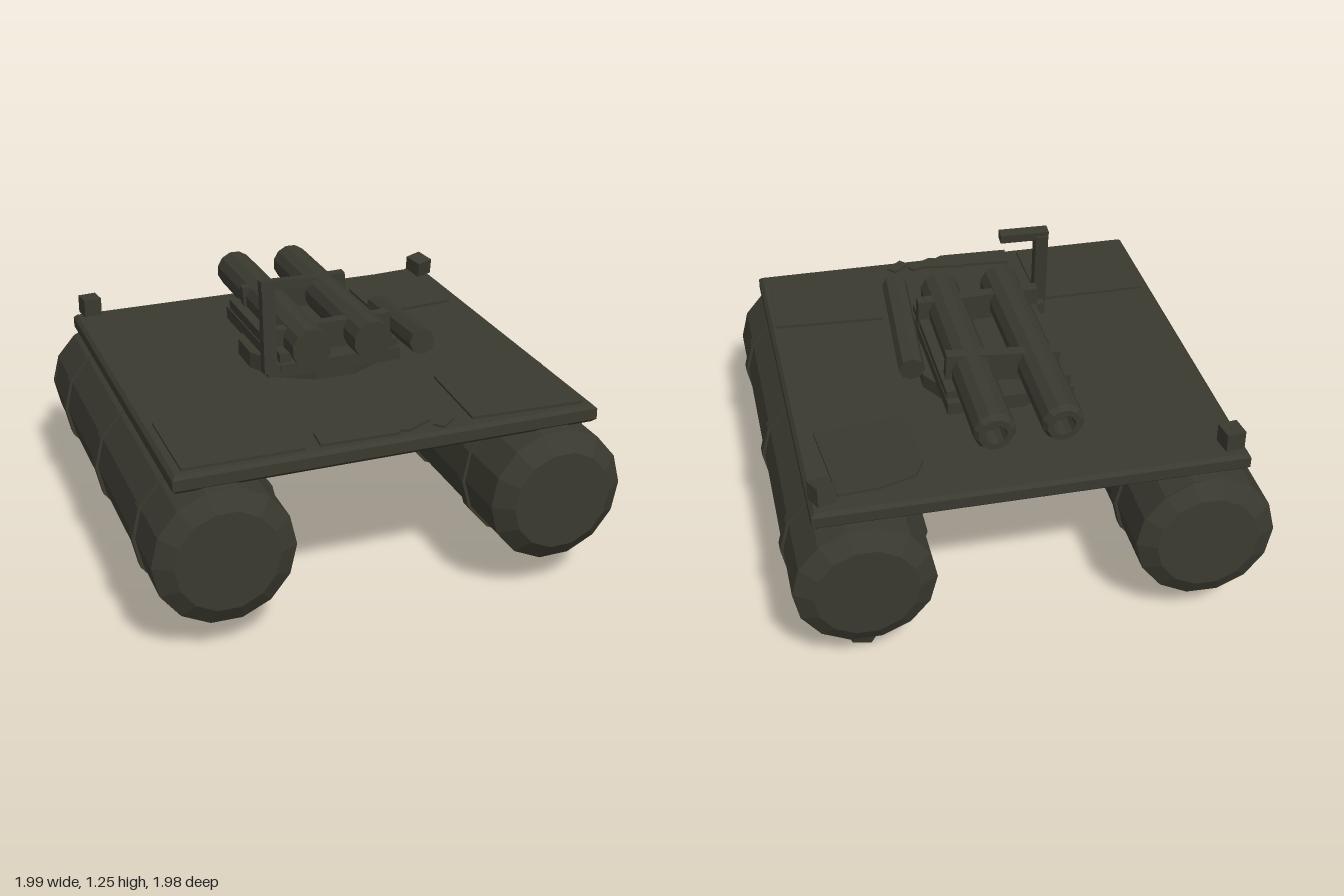
import * as THREE from 'three';

const olive = new THREE.MeshStandardMaterial({ color: 0x3a392f, flatShading: true });
olive.name = 'darkOlive';

export function createModel() {
  const root = new THREE.Group();
  root.name = 'pontoonRaft';

  const add = (name, geo, pos = [0, 0, 0], rot = [0, 0, 0], parent = root) => {
    const mesh = new THREE.Mesh(geo, olive);
    mesh.name = name;
    mesh.position.set(...pos);
    mesh.rotation.set(...rot);
    parent.add(mesh);
    return mesh;
  };
  const box = (name, size, pos, rot, parent) => add(name, new THREE.BoxGeometry(...size), pos, rot, parent);
  // Profile of [radius, height] pairs turned around y, with a flat side down once laid along z
  const turned = (profile, sides) => new THREE.LatheGeometry(
    profile.map(([r, y]) => new THREE.Vector2(r, y)), sides, Math.PI / sides);
  // Outline in x, z extruded upwards
  const slab = (outline, depth, bevel = 0) => new THREE.ExtrudeGeometry(
    new THREE.Shape(outline.map(([x, z]) => new THREE.Vector2(x, -z))),
    { depth, bevelEnabled: bevel > 0, bevelSize: bevel, bevelThickness: bevel, bevelSegments: 1 }
  ).rotateX(-Math.PI / 2);

  // Pontoons: drum, bands and separate chamfered end caps
  const R = 0.287;
  const capShape = depth => turned([[0, -0.005], [R, -0.005], [R, 0.01], [0.21, depth], [0, depth]], 14);
  const pontoon = (name, x, y, roll, capDepth, backPos, backRot) => {
    const g = new THREE.Group();
    g.name = name;
    g.position.set(x, y, 0);
    g.rotation.z = roll;
    root.add(g);
    const flat = [Math.PI / 2, 0, 0];
    add('drum', turned([[0, -0.905], [R, -0.905], [R, 0.92], [0, 0.92]], 14), [0, 0, 0], flat, g);
    for (const z of [-0.62, 0.01, 0.66])
      add('band', turned([[R - 0.01, -0.025], [0.3, -0.025], [0.3, 0.025], [R - 0.01, 0.025]], 14), [0, 0, z], flat, g);
    add('frontCap', capShape(capDepth), [0, 0, 0.92], flat, g);
    add('backCap', capShape(0.055), backPos, backRot, g);
  };
  pontoon('leftPontoon', 0.695, 0.572, 0.03, 0.068, [0, 0, -0.905], [-Math.PI / 2, 0, 0]);
  pontoon('rightPontoon', -0.697, 0.557, 0, 0.055, [0.0, 0.0, -0.915], [-Math.PI / 2 + 0.07, 0, -0.06]);

  // Deck with bevelled rim, leaning slightly to one side
  const deck = new THREE.Group();
  deck.name = 'deck';
  deck.position.set(0, 0.913, 0);
  deck.rotation.set(0.003, 0, 0.013);
  root.add(deck);
  const rect = (x0, z0, x1, z1) => [[x0, z1], [x1, z1], [x1, z0], [x0, z0]];
  add('deckPlate', slab(rect(-0.865, -0.86, 0.865, 0.875), 0.045, 0.015), [0, -0.06, 0], [0, 0, 0], deck);

  // Hatch plates and torn strips on the deck
  box('hatchPlate', [0.49, 0.012, 0.43], [-0.59, 0.005, 0.635], [0, 0, 0], deck);
  box('hatchPlate', [0.475, 0.012, 0.425], [0.605, 0.006, 0.63], [0, -0.05, 0.004], deck);
  add('bentPlate', slab([[-0.19, 0.215], [0.19, 0.215], [0.19, -0.215], [0.02, -0.215],
    [-0.13, -0.18], [-0.18, -0.1]], 0.012), [0.595, 0.008, -0.575], [0.035, 0.08, 0]);
  const bent = root.children.pop();
  deck.add(bent);
  add('tornStrip', slab([[-0.29, 0.86], [0.02, 0.87], [0.05, 0.85], [0.08, 0.86], [0.19, 0.8],
    [0.17, 0.77], [0.12, 0.79], [-0.05, 0.765], [-0.08, 0.77], [-0.28, 0.755]], 0.012), [0, 0.008, 0], [0, 0, 0], deck);
  box('tornScrap', [0.09, 0.01, 0.05], [0.235, 0.01, 0.825], [0, 0.7, 0], deck);

  // Blocks on the rear corners
  box('cornerBlock', [0.08, 0.08, 0.085], [-0.812, 0.963, -0.81], [0, 0.12, 0]);
  box('cornerBlock', [0.08, 0.075, 0.09], [0.825, 0.972, -0.795], [0.2, 0.35, 0.04]);

  // Turntable and cradle
  add('turntable', new THREE.CylinderGeometry(0.315, 0.315, 0.07, 12, 1, false, Math.PI / 12), [0, 0.945, -0.06]);
  box('cradleBase', [0.53, 0.055, 0.73], [0, 1.0, -0.065], [0, 0.015, 0.012]);
  for (const side of [-1, 1])
    box('cradleRail', [0.05, 0.05, 0.68], [side * 0.235, 1.04, -0.06], [0, 0.01, 0]);

  // Twin launch tubes: solid at the front, hollow at the rear
  const tube = turned([[0, -0.33], [0.085, -0.33], [0.085, 0.725], [0.07, 0.75],
    [0.045, 0.75], [0.045, 0.66], [0, 0.66]], 12);
  add('launchTube', tube, [-0.135, 1.088, 0], [-Math.PI / 2, 0, 0.005]);
  add('launchTube', tube, [0.135, 1.088, 0], [-Math.PI / 2, 0, 0]);
  box('rearClamp', [0.47, 0.125, 0.05], [0.005, 1.1, -0.305], [0, -0.06, 0.06]);
  box('frontClamp', [0.53, 0.12, 0.05], [0, 1.085, 0.175], [0, 0.03, 0.02]);

  // Loose canister beside the tubes
  const from = new THREE.Vector3(0.355, 1.035, -0.17);
  const to = new THREE.Vector3(0.32, 1.09, 0.41);
  const canister = add('sideCanister', new THREE.CylinderGeometry(0.055, 0.055, from.distanceTo(to), 8));
  canister.position.copy(from).lerp(to, 0.5);
  canister.quaternion.setFromUnitVectors(new THREE.Vector3(0, 1, 0), to.clone().sub(from).normalize());

  // Sight mast with crossbar and foot
  box('mastPost', [0.055, 0.37, 0.05], [-0.3, 1.175, 0.262], [-0.1, 0, -0.01]);
  box('mastBar', [0.21, 0.038, 0.05], [-0.225, 1.36, 0.255], [-0.1, -0.04, 0]);
  box('mastFoot', [0.08, 0.05, 0.09], [-0.275, 1.0, 0.255], [0, 0, 0]);

  // Hanging sensor below the left pontoon
  add('sensorStem', new THREE.CylinderGeometry(0.012, 0.012, 0.1, 6), [0.695, 0.26, -0.735]);
  add('sensorPod', new THREE.CylinderGeometry(0.078, 0.078, 0.1, 6), [0.697, 0.2, -0.73], [-0.2, 0.3, -0.1]);

  return root;
}
